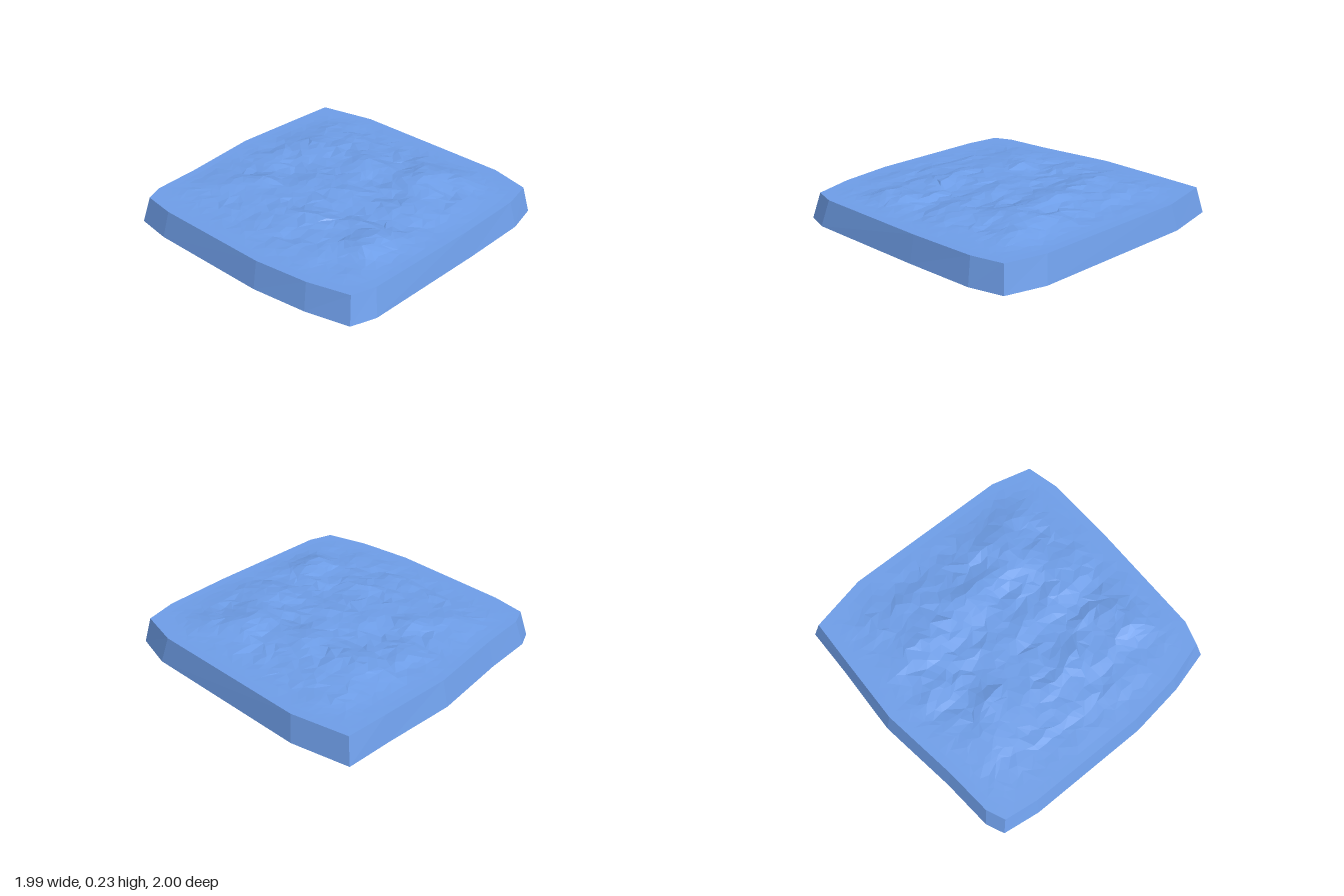
import * as THREE from 'three';

const N = 32;        // ground grid cells per side
const RIM_Y = 0.177; // height of the upper rim

// Footprint corners [x, z] on the floor and at the rim, clockwise from above
const BASE = [
  [-0.95, -0.93], [-0.55, -1.0], [0.67, -0.955], [0.94, -0.87], [0.99, -0.64], [0.985, -0.15],
  [0.955, 0.73], [0.895, 0.895], [0.6, 0.96], [0.22, 0.995], [-0.63, 0.965], [-0.88, 0.92],
  [-0.93, 0.8], [-0.945, 0.45], [-1.0, -0.1], [-0.965, -0.6],
];
const RIM = [
  [-0.91, -0.895], [-0.52, -0.965], [0.63, -0.92], [0.905, -0.84], [0.95, -0.62], [0.95, -0.15],
  [0.915, 0.69], [0.86, 0.85], [0.58, 0.92], [0.21, 0.955], [-0.61, 0.925], [-0.84, 0.885],
  [-0.89, 0.76], [-0.905, 0.44], [-0.96, -0.1], [-0.93, -0.6],
];

// Low hills [x, z, height, radius]
const HILLS = [
  [0.62, 0.37, 0.042, 0.16], [0.37, -0.48, 0.038, 0.22], [-0.1, -0.45, 0.03, 0.2],
  [-0.48, -0.42, 0.022, 0.2], [-0.45, 0.3, 0.018, 0.22], [0.1, 0.45, 0.022, 0.2],
  [0.1, -0.02, 0.012, 0.25], [0.55, -0.1, 0.012, 0.2],
];

// Repeatable random value for a lattice point
function hash(i, j) {
  const s = Math.sin(i * 127.1 + j * 311.7) * 43758.5453;
  return s - Math.floor(s);
}

// Smooth value noise, -0.5 to 0.5
function noise(x, z) {
  const i = Math.floor(x), j = Math.floor(z);
  const ease = (t) => t * t * (3 - 2 * t);
  const a = ease(x - i), mix = THREE.MathUtils.lerp;
  return mix(mix(hash(i, j), hash(i + 1, j), a),
    mix(hash(i, j + 1), hash(i + 1, j + 1), a), ease(z - j)) - 0.5;
}

// Position along the border of the square grid, 0 to 4N
function borderPosition(x, z) {
  const s = Math.max(Math.abs(x), Math.abs(z));
  const u = x / s, v = z / s;
  if (v <= -1) return N * (u + 1) / 2;
  if (u >= 1) return N * (1 + (v + 1) / 2);
  if (v >= 1) return N * (2 + (1 - u) / 2);
  return N * (3 + (1 - v) / 2);
}

const STOPS = RIM.map(([x, z]) => Math.round(borderPosition(x, z)) % (4 * N));

// Point on the rim for a border position
function rimPoint(t) {
  t %= 4 * N;
  for (let k = 0; k < RIM.length; k++) {
    const n = (k + 1) % RIM.length;
    const end = n === 0 ? STOPS[0] + 4 * N : STOPS[n];
    if (t >= STOPS[k] && t <= end) {
      const f = (t - STOPS[k]) / (end - STOPS[k]);
      return [0, 1].map((c) => THREE.MathUtils.lerp(RIM[k][c], RIM[n][c], f));
    }
  }
  return RIM[0];
}

// Uneven ground: flat at the rim, rising into rough hills
function groundHeight(x, z, s) {
  const fade = 1 - THREE.MathUtils.smoothstep(s, 0.62, 0.96);
  let h = 0.012 + 0.022 * noise(x * 5 + 9, z * 8 + 4) + 0.018 * noise(x * 11 + 3, z * 17 + 7);
  for (const [hx, hz, height, r] of HILLS) {
    h += height * Math.exp(-((x - hx) ** 2 + (z - hz) ** 2) / (r * r));
  }
  return RIM_Y + fade * Math.max(0, Math.min(h, 0.073));
}

function makeGeometry(positions, indices) {
  const geometry = new THREE.BufferGeometry();
  geometry.setAttribute('position', new THREE.Float32BufferAttribute(positions, 3));
  geometry.setIndex(indices);
  geometry.computeVertexNormals();
  return geometry;
}

function groundGeometry() {
  const positions = [], indices = [];
  for (let j = 0; j <= N; j++) {
    for (let i = 0; i <= N; i++) {
      let u = i / N * 2 - 1, v = j / N * 2 - 1;
      // Shift inner points a little so the facets are irregular
      if (i > 1 && j > 1 && i < N - 1 && j < N - 1) {
        u += (hash(i, j) - 0.5) * 0.04;
        v += (hash(j + 50, i) - 0.5) * 0.04;
      }
      const s = Math.max(Math.abs(u), Math.abs(v));
      const [rx, rz] = s > 0 ? rimPoint(borderPosition(u, v)) : [0, 0];
      const x = rx * s, z = rz * s;
      positions.push(x, groundHeight(x, z, s), z);
      if (i < N && j < N) {
        const a = j * (N + 1) + i, b = a + 1, c = a + N + 1, d = c + 1;
        if (hash(i + 20, j + 70) < 0.5) indices.push(a, c, b, b, c, d);
        else indices.push(a, c, d, a, d, b);
      }
    }
  }
  return makeGeometry(positions, indices);
}

function wallGeometry() {
  const positions = [], indices = [];
  const count = RIM.length;
  for (let k = 0; k < count; k++) {
    positions.push(RIM[k][0], RIM_Y, RIM[k][1], BASE[k][0], 0, BASE[k][1]);
    const a = 2 * k, b = 2 * ((k + 1) % count);
    indices.push(a, b, b + 1, a, b + 1, a + 1);
  }
  return makeGeometry(positions, indices);
}

export function createModel() {
  const group = new THREE.Group();
  group.name = 'groundSlab';
  const material = new THREE.MeshStandardMaterial({
    color: 0x6f9fea, flatShading: true, side: THREE.DoubleSide,
  });

  // Rough top surface
  const ground = new THREE.Mesh(groundGeometry(), material);
  ground.name = 'groundSurface';

  // Sloping sides, open underneath
  const walls = new THREE.Mesh(wallGeometry(), material);
  walls.name = 'sideWalls';

  group.add(ground, walls);
  return group;
}
